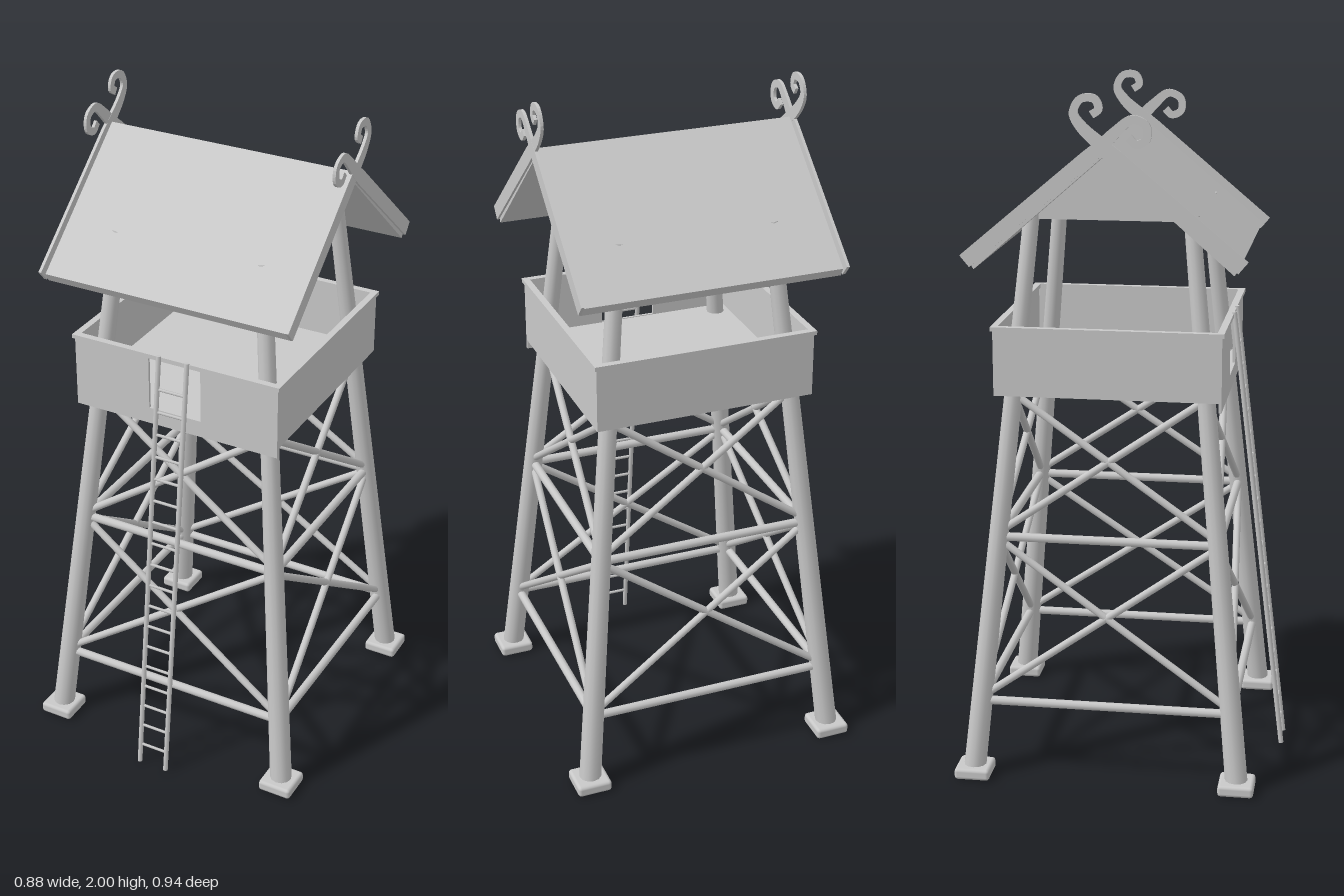
import * as THREE from 'three';
import { RoundedBoxGeometry } from 'three/addons/geometries/RoundedBoxGeometry.js';

export function createModel() {
  const model = new THREE.Group();
  model.name = 'watchtower';
  const tower = new THREE.Group();
  tower.name = 'tower';
  tower.position.z = -0.034;
  model.add(tower);

  const grey = new THREE.MeshStandardMaterial({ color: 0xc8c8c8 });
  grey.name = 'plain grey';
  const V = (x, y, z) => new THREE.Vector3(x, y, z);

  const add = (name, geometry, x = 0, y = 0, z = 0) => {
    const mesh = new THREE.Mesh(geometry, grey);
    mesh.name = name;
    mesh.position.set(x, y, z);
    tower.add(mesh);
    return mesh;
  };

  // Round bar between two points
  const bar = (name, a, b, r0, r1 = r0, sides = 10) => {
    const dir = b.clone().sub(a);
    const mesh = add(name, new THREE.CylinderGeometry(r1, r0, dir.length(), sides));
    mesh.position.copy(a).lerp(b, 0.5);
    mesh.quaternion.setFromUnitVectors(V(0, 1, 0), dir.normalize());
    return mesh;
  };

  // Extrude a (z, y) outline along x, centred on x = 0
  const extrudeX = (points, width) => {
    const shape = new THREE.Shape(points.map(([z, y]) => new THREE.Vector2(z, y)));
    return new THREE.ExtrudeGeometry(shape, { depth: width, bevelEnabled: false })
      .rotateY(-Math.PI / 2).translate(width / 2, 0, 0);
  };

  // Feet and leaning legs
  const legAt = (y) => 0.39 - 0.0997 * y;
  for (const sx of [-1, 1]) for (const sz of [-1, 1]) {
    add('foot', new RoundedBoxGeometry(0.104, 0.034, 0.104, 2, 0.01), sx * 0.388, 0.018, sz * 0.388);
    const lo = legAt(0.025), hi = legAt(1.65);
    bar('leg', V(sx * lo, 0.025, sz * lo), V(sx * hi, 1.65, sz * hi), 0.033, 0.023, 12);
  }

  // Cross bracing on all four sides
  for (let side = 0; side < 4; side++) {
    const at = (s, y) => V(s * legAt(y), y, legAt(y)).applyAxisAngle(V(0, 1, 0), side * Math.PI / 2);
    for (const y of [0.23, 0.722]) bar('horizontalBrace', at(-1, y), at(1, y), 0.013);
    for (const [y0, y1] of [[0.24, 0.715], [0.735, 1.14]]) {
      for (const s of [-1, 1]) bar('diagonalBrace', at(s, y0), at(-s, y1), 0.011);
    }
  }

  // Platform floor and parapet
  const half = 0.324, t = 0.008;
  add('floor', new THREE.BoxGeometry(half * 2, 0.02, half * 2 - 0.004), 0, 1.153, 0);
  const wallHeight = 0.195, wallY = 1.24;
  add('backWall', new THREE.BoxGeometry(half * 2, wallHeight, t), 0, wallY, -half + t / 2);
  for (const s of [-1, 1]) {
    add('sideWall', new THREE.BoxGeometry(t, wallHeight, half * 2 - 2 * t), s * (half - t / 2), wallY, 0);
  }

  // Front wall with the ladder hatch and a lower skirt
  const front = new THREE.Shape([[-half, 1.115], [half, 1.115], [half, 1.3375], [-half, 1.3375]]
    .map(([x, y]) => new THREE.Vector2(x, y)));
  front.holes.push(new THREE.Path([[-0.083, 1.165], [-0.083, 1.325], [0.083, 1.325], [0.083, 1.165]]
    .map(([x, y]) => new THREE.Vector2(x, y))));
  add('frontWall', new THREE.ExtrudeGeometry(front, { depth: t, bevelEnabled: false }), 0, 0, half - t);

  // Handrail on top of the parapet
  for (const s of [-1, 1]) {
    add('handrail', new THREE.BoxGeometry(0.66, 0.012, 0.02), 0, 1.336, s * 0.32);
    add('handrail', new THREE.BoxGeometry(0.02, 0.012, 0.62), s * 0.32, 1.336, 0);
  }

  // Ladder
  const ladderZ = (y) => 0.494 - 0.121 * y;
  for (const s of [-1, 1]) {
    bar('ladderRail', V(s * 0.045, 0.001, ladderZ(0)), V(s * 0.045, 1.346, ladderZ(1.346)), 0.0075, 0.0075, 8);
  }
  for (let i = 0; i < 18; i++) {
    const y = 0.064 + i * 0.0695;
    bar('ladderRung', V(-0.045, y, ladderZ(y)), V(0.045, y, ladderZ(y)), 0.0045, 0.0045, 6);
  }

  // Pitched roof and gable panels
  add('roof', extrudeX([[0, 1.86], [-0.376, 1.541], [-0.36, 1.515], [0, 1.828],
    [0.36, 1.515], [0.376, 1.541]], 0.76));
  for (const s of [-1, 1]) {
    add('gable', extrudeX([[-0.222, 1.635], [0.222, 1.635], [0, 1.832]], 0.012), s * 0.228, 0, 0);
  }

  // Gable boards crossing at the ridge and ending in curls
  const ribbon = (start, curl) => {
    const tail = new THREE.CatmullRomCurve3([[0, 1.86], ...curl].map(([z, y]) => V(z, y, 0)));
    const centre = [V(...start, 0), V(start[0] * 0.1, 1.828, 0), ...tail.getPoints(32)];
    const left = [], right = [];
    centre.forEach((p, i) => {
      const d = centre[Math.min(i + 1, centre.length - 1)].clone().sub(centre[Math.max(i - 1, 0)]).normalize();
      const w = i < 2 ? 0.021 : THREE.MathUtils.lerp(0.019, 0.011, Math.min(1, (i - 2) / 12));
      left.push([p.x - d.y * w, p.y + d.x * w]);
      right.unshift([p.x + d.y * w, p.y - d.x * w]);
    });
    return extrudeX([...left, ...right], 0.009);
  };
  const boards = [
    ribbon([0.384, 1.538], [[-0.056, 1.91], [-0.077, 1.947], [-0.058, 1.983], [-0.02, 1.984],
      [-0.009, 1.957], [-0.028, 1.942]]),
    ribbon([-0.384, 1.538], [[0.039, 1.899], [0.082, 1.931], [0.119, 1.915], [0.12, 1.878],
      [0.092, 1.865], [0.072, 1.883]]),
  ];
  for (const s of [-1, 1]) {
    boards.forEach((geometry, i) => add('gableBoard', geometry, s * (0.3825 + i * 0.0005), 0, 0));
  }

  return model;
}
